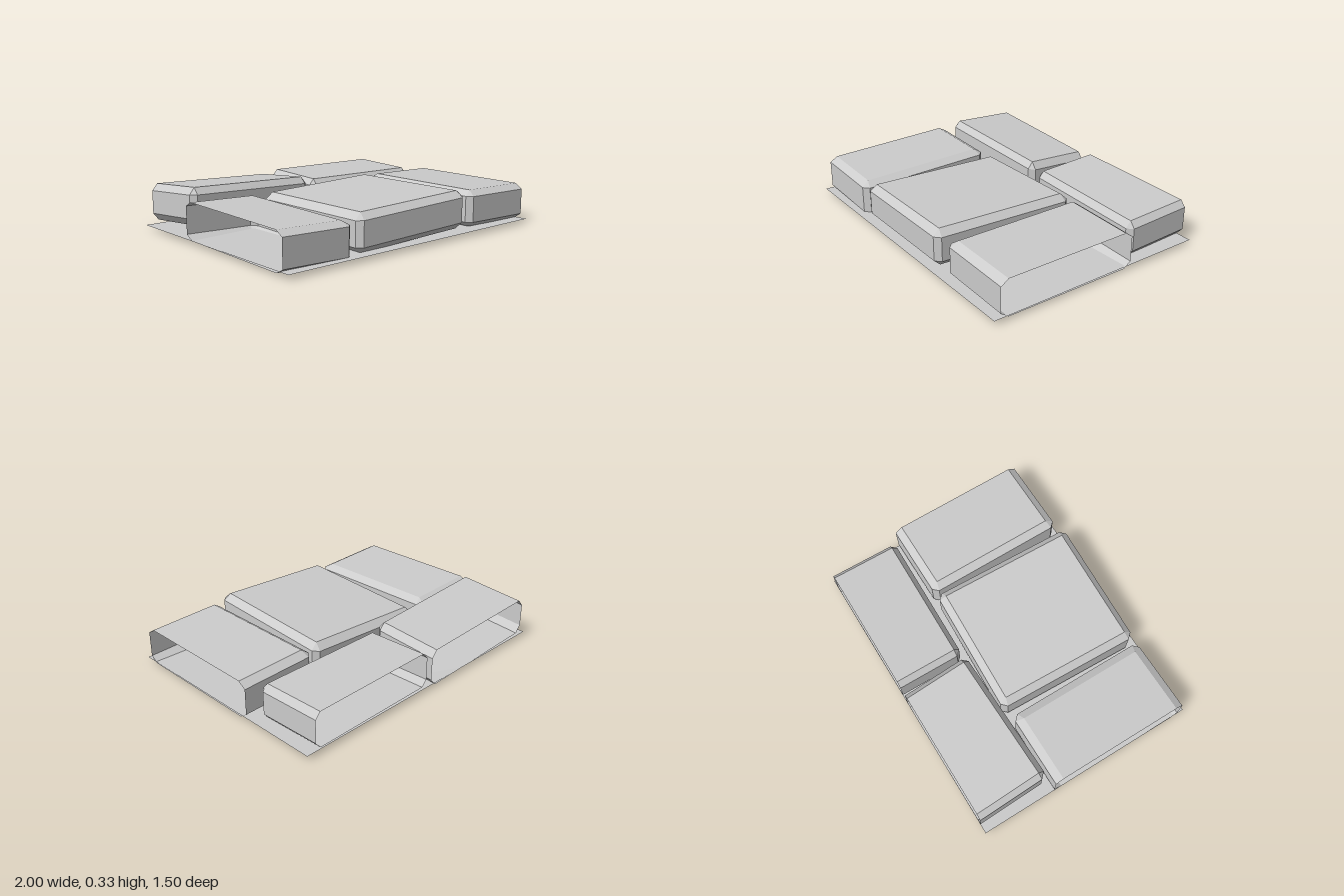
import * as THREE from 'three';

const material = new THREE.MeshStandardMaterial({ color: 0xcccccc, flatShading: true, side: THREE.DoubleSide });

// Chamfered paving stone. Sides listed in `open` are cut flat at the tile border and left open.
// tilt: rise per unit of x and z; skew: shear of the outline.
function pavingStone(name, { x, z, y, bevel = 0.045, rise = 0.035, corner = 0.035, open = [], tilt = [0, 0], skew = [0, 0] }) {
  const [x0, x1] = x, [z0, z1] = z, [y0, y1] = y;
  const cx = (x0 + x1) / 2, cz = (z0 + z1) / 2;
  const cut = (side) => open.includes(side);

  // Outline of eight points, two per corner, counter-clockwise from above
  const ring = (height, inset, chamfer) => {
    const points = [];
    const corners = [['right', 'front'], ['right', 'back'], ['left', 'back'], ['left', 'front']];
    corners.forEach(([sx, sz], i) => {
      const dx = sx === 'right' ? 1 : -1, dz = sz === 'front' ? 1 : -1;
      const px = (dx > 0 ? x1 : x0) - dx * (cut(sx) ? 0 : inset);
      const pz = (dz > 0 ? z1 : z0) - dz * (cut(sz) ? 0 : inset);
      const c = cut(sx) || cut(sz) ? 0 : chamfer;
      const pair = [[px - dx * c, pz], [px, pz - dz * c]];
      if (i % 2) pair.reverse();
      for (const [a, b] of pair) {
        const hold = cut('back') ? (b - z0) / (z1 - z0) : 1;
        points.push(new THREE.Vector3(
          a + skew[0] * (b - cz),
          height + tilt[0] * (a - cx) + tilt[1] * (b - cz),
          b + skew[1] * (a - cx) * hold));
      }
    });
    return points;
  };

  const rings = [
    ring(y0, bevel, 0),
    ring(y0 + rise, 0, corner),
    ring(y1 - rise, 0, corner),
    ring(y1, bevel, 0),
  ];

  const positions = [];
  const triangle = (a, b, c) => {
    if (new THREE.Triangle(a, b, c).getArea() > 1e-8) for (const p of [a, b, c]) positions.push(p.x, p.y, p.z);
  };
  const quad = (a, b, c, d) => { triangle(a, b, c); triangle(a, c, d); };

  // Walls and bevels, skipping the cut sides
  const sideOf = { 1: 'right', 3: 'back', 5: 'left', 7: 'front' };
  for (let r = 0; r < 3; r++) {
    for (let i = 0; i < 8; i++) {
      if (cut(sideOf[i])) continue;
      const j = (i + 1) % 8;
      quad(rings[r][i], rings[r][j], rings[r + 1][j], rings[r + 1][i]);
    }
  }
  // Top and underside
  const [bottom, , , top] = rings;
  quad(top[0], top[2], top[4], top[6]);
  quad(bottom[6], bottom[4], bottom[2], bottom[0]);

  const geometry = new THREE.BufferGeometry();
  geometry.setAttribute('position', new THREE.Float32BufferAttribute(positions, 3));
  geometry.computeVertexNormals();
  const mesh = new THREE.Mesh(geometry, material);
  mesh.name = name;
  return mesh;
}

export function createModel() {
  const group = new THREE.Group();
  group.name = 'pavingTile';

  // Flat bed under the stones
  const bed = new THREE.Mesh(new THREE.PlaneGeometry(2, 1.5).rotateX(-Math.PI / 2), material);
  bed.name = 'groundBed';
  bed.position.y = 0.03;
  group.add(bed);

  // Front row
  group.add(pavingStone('middleStone', {
    x: [-0.44, 0.43], z: [-0.25, 0.715], y: [0.028, 0.27],
    rise: 0.042, tilt: [0.037, 0.02], skew: [-0.04, 0.033],
  }));
  group.add(pavingStone('rightStone', {
    x: [-1, -0.5], z: [-0.245, 0.7], y: [0.015, 0.25],
    bevel: 0.052, rise: 0.03, open: ['left'], tilt: [-0.035, -0.016],
  }));
  group.add(pavingStone('leftStone', {
    x: [0.475, 1], z: [-0.24, 0.705], y: [0.028, 0.265],
    bevel: 0.05, open: ['right'], tilt: [-0.025, 0.005],
  }));

  // Back row, cut at the rear border
  group.add(pavingStone('backRightStone', {
    x: [-0.94, -0.02], z: [-0.75, -0.283], y: [0.055, 0.295],
    bevel: 0.037, rise: 0.045, open: ['back'], tilt: [-0.04, 0.08], skew: [0.02, -0.025],
  }));
  group.add(pavingStone('backLeftStone', {
    x: [0.025, 0.935], z: [-0.75, -0.293], y: [0.037, 0.267],
    bevel: 0.035, rise: 0.04, open: ['back'], tilt: [-0.012, -0.035], skew: [0, 0.02],
  }));

  return group;
}
